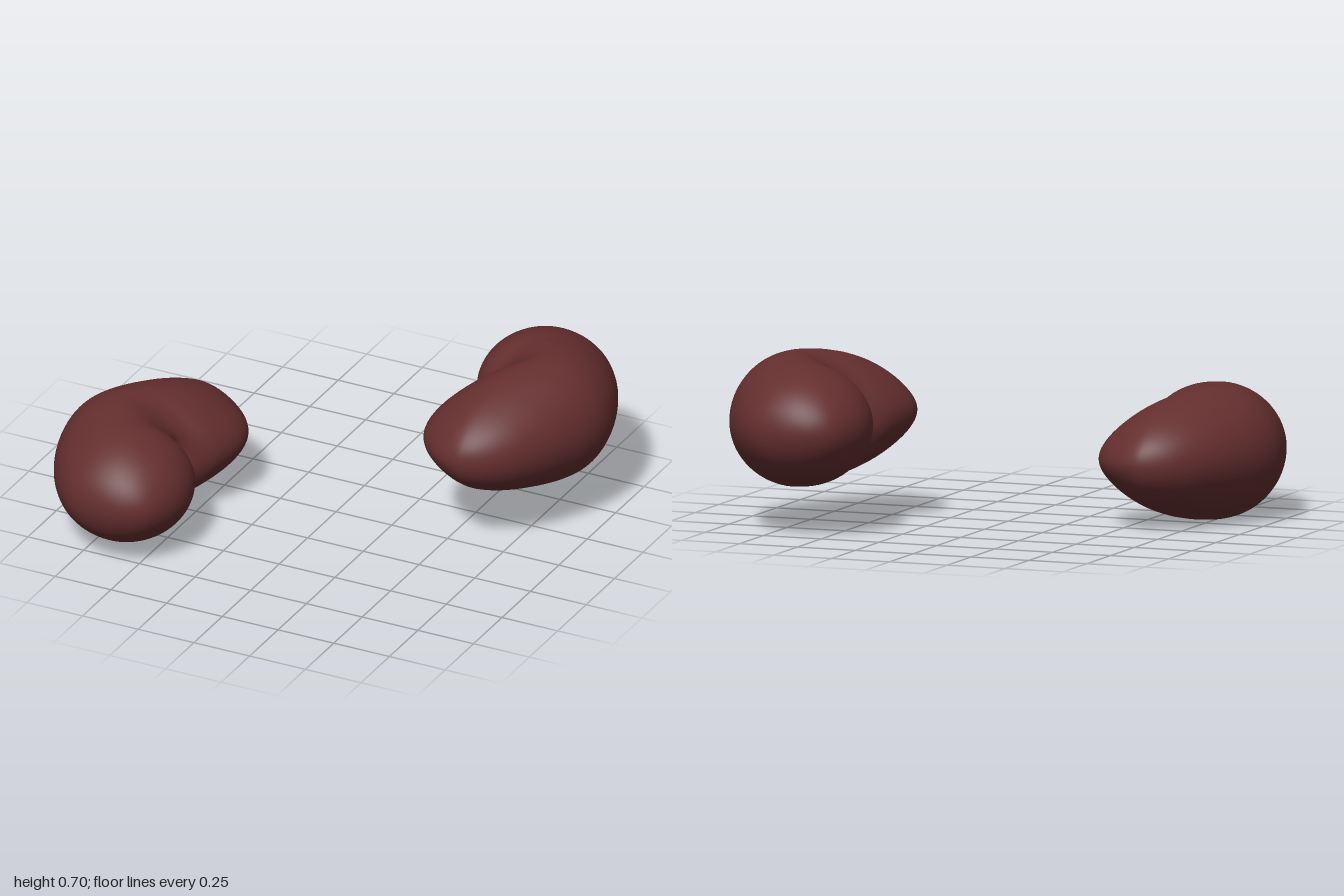
import * as THREE from 'three';
import { mergeVertices } from 'three/addons/utils/BufferGeometryUtils.js';

// Plan outline of one bean (x, z): outer edge, then inner edge, both running from back tip to front tip
const backTip = [-0.62, -0.15], frontTip = [-0.61, 0.884];
const outer = [[-0.72, -0.115], [-0.82, -0.03], [-0.9, 0.09], [-0.955, 0.21], [-0.985, 0.3], [-1, 0.4], [-0.995, 0.47],
  [-0.973, 0.56], [-0.94, 0.64], [-0.9, 0.71], [-0.84, 0.785], [-0.77, 0.845], [-0.7, 0.872]];
const inner = [[-0.54, -0.135], [-0.45, -0.075], [-0.385, 0.016], [-0.37, 0.11], [-0.405, 0.23], [-0.465, 0.31], [-0.48, 0.36],
  [-0.46, 0.405], [-0.395, 0.465], [-0.358, 0.58], [-0.364, 0.695], [-0.417, 0.81], [-0.5, 0.866]];

const bell = (d, w) => Math.exp(-(d * d) / (w * w));

function beanGeometry() {
  const loop = [backTip, ...outer, frontTip, ...[...inner].reverse()];
  const outline = new THREE.CatmullRomCurve3(loop.map(([x, z]) => new THREE.Vector3(x, 0, z)), true);
  const rings = 112, sides = 72, midY = 0.273, midZ = 0.367;
  const positions = [], index = [];

  for (let i = 0; i <= rings; i++) {
    const t = i / rings / 2;
    const o = outline.getPoint(t), n = outline.getPoint((1 - t) % 1);
    const c = o.clone().add(n).multiplyScalar(0.5);
    const half = n.clone().sub(o).multiplyScalar(0.5);
    // Blunt front end, more pointed back end
    const u = Math.min(1, Math.abs(c.z - midZ) / 0.517);
    const height = 0.271 * Math.sqrt(Math.max(0, 1 - u ** (c.z < midZ ? 1.6 : 2.45)));
    // The inner edge is pinched on the back lobe and rounder on the front lobe
    const pinch = 0.3 - 0.25 * THREE.MathUtils.smoothstep(c.z, 0.42, 0.62);

    for (let j = 0; j < sides; j++) {
      const a = (j / sides) * Math.PI * 2, cos = Math.cos(a), sin = Math.sin(a);
      let x = c.x + half.x * cos;
      const z = c.z + half.z * cos;
      let y = height * sin * (1 - pinch * Math.max(0, cos) ** 1.5);
      // Fold running from the notch across the top and bottom
      const along = THREE.MathUtils.clamp(((x + 0.48) * -0.74 + (z - 0.4) * 0.67) / 0.3, 0, 1);
      const off = Math.hypot(x + 0.48 + 0.222 * along, z - 0.4 - 0.201 * along);
      y *= 1 - 0.09 * (1 - along) * bell(off, 0.05);
      // Small pit in the notch
      if (cos > 0) x -= 0.07 * bell(z - 0.365, 0.05) * bell(y - 0.02, 0.08) * cos;
      positions.push(x, midY + y, z);
    }
  }
  for (let i = 0; i < rings; i++) {
    for (let j = 0; j < sides; j++) {
      const k = (j + 1) % sides;
      const a = i * sides + j, b = i * sides + k, d = a + sides, e = b + sides;
      if (i > 0) index.push(a, b, d);
      if (i < rings - 1) index.push(b, e, d);
    }
  }
  let geometry = new THREE.BufferGeometry();
  geometry.setAttribute('position', new THREE.Float32BufferAttribute(positions, 3));
  geometry.setIndex(index);
  geometry = mergeVertices(geometry, 1e-5);
  geometry.computeVertexNormals();
  return geometry;
}

export function createModel() {
  const model = new THREE.Group();
  model.name = 'beans';
  const skin = new THREE.MeshStandardMaterial({ color: 0x642e2e });
  skin.name = 'dark red bean skin';
  const geometry = beanGeometry();

  const rightBean = new THREE.Mesh(geometry, skin);
  rightBean.name = 'rightBean';

  // The second bean is turned half round and sits a little higher
  const leftBean = new THREE.Mesh(geometry, skin);
  leftBean.name = 'leftBean';
  leftBean.rotation.y = Math.PI;
  leftBean.position.y = 0.162;

  model.add(rightBean, leftBean);
  return model;
}
